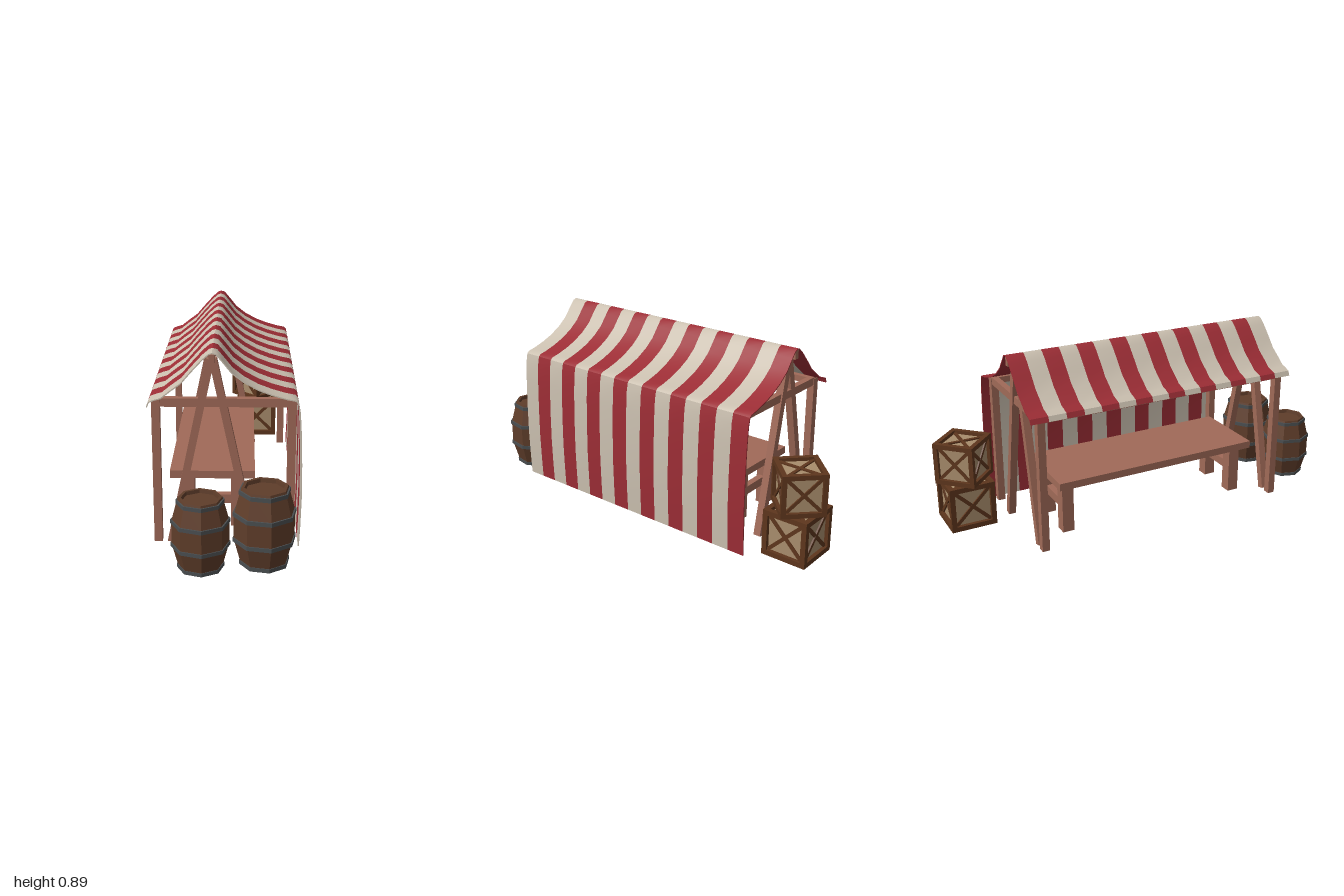
import * as THREE from 'three';
import { toCreasedNormals } from 'three/addons/utils/BufferGeometryUtils.js';

const mat = (color, extra = {}) => new THREE.MeshStandardMaterial({ color, ...extra });
const WOOD = mat(0xa06a58), BARREL = mat(0x5f3d2a, { flatShading: true }), HOOP = mat(0x4a4e50, { flatShading: true });
const CRATE = mat(0x5e361d), PANEL = mat(0xa88d6c), RED = mat(0x9c2d35), CREAM = mat(0xcbc0b0);

function add(parent, name, geometry, material, x = 0, y = 0, z = 0) {
  const mesh = new THREE.Mesh(geometry, material);
  mesh.name = name;
  mesh.position.set(x, y, z);
  parent.add(mesh);
  return mesh;
}
const box = (parent, name, material, w, h, d, x, y, z) =>
  add(parent, name, new THREE.BoxGeometry(w, h, d), material, x, y, z);

function group(parent, name) {
  const g = new THREE.Group();
  g.name = name;
  parent.add(g);
  return g;
}

// Square beam between two points in a plane of constant z
function slantedBeam(parent, name, x0, y0, x1, y1, z, width, depth) {
  const beam = box(parent, name, WOOD, width, Math.hypot(x1 - x0, y1 - y0), depth, (x0 + x1) / 2, (y0 + y1) / 2, z);
  beam.rotation.z = -Math.atan2(x1 - x0, y1 - y0);
}

// Striped cloth: a thin draped profile, extruded stripe by stripe
function buildAwning(parent) {
  const awning = group(parent, 'awning');
  const outer = [
    [-0.336, 0.66], [-0.326, 0.683], [-0.3, 0.693], [-0.275, 0.7], [-0.235, 0.732], [-0.19, 0.765],
    [-0.15, 0.812], [-0.1, 0.867], [-0.07, 0.893], [-0.055, 0.898], [-0.035, 0.892], [-0.01, 0.862],
    [0.03, 0.812], [0.08, 0.773], [0.14, 0.74], [0.2, 0.717], [0.26, 0.7], [0.3, 0.692], [0.311, 0.682],
    [0.32, 0.64], [0.327, 0.54], [0.332, 0.4], [0.334, 0.25], [0.331, 0.12], [0.327, 0.015],
  ].map(p => new THREE.Vector2(...p));
  const inner = outer.map((p, i) => {
    const t = outer[Math.min(i + 1, outer.length - 1)].clone().sub(outer[Math.max(i - 1, 0)]).normalize();
    return new THREE.Vector2(p.x + t.y * 0.006, p.y - t.x * 0.006).lerp(p, 0.15);
  });
  const shape = new THREE.Shape([...outer, ...inner.reverse()]);
  const count = 16, width = 1.38 / count;
  const geometry = toCreasedNormals(new THREE.ExtrudeGeometry(shape, { depth: width, bevelEnabled: false }), 0.6);
  for (let i = 0; i < count; i++) {
    add(awning, i % 2 ? 'creamStripe' : 'redStripe', geometry, i % 2 ? CREAM : RED, 0, 0, -0.69 + i * width);
  }
}

// Stall frame: posts, cross beams and an A-frame at each end
function buildFrame(parent) {
  const frame = group(parent, 'frame');
  for (const z of [-0.635, 0.635]) {
    for (const x of [-0.3, 0.287]) box(frame, 'post', WOOD, 0.036, 0.665, 0.036, x, 0.348, z);
    box(frame, 'crossBeam', WOOD, 0.6, 0.038, 0.03, -0.006, 0.668, z);
    slantedBeam(frame, 'leftBrace', 0.125, 0.015, -0.053, 0.86, z - 0.004, 0.034, 0.036);
    slantedBeam(frame, 'rightBrace', -0.242, 0.015, -0.063, 0.86, z + 0.004, 0.034, 0.036);
  }
  for (const x of [-0.3, 0.287]) box(frame, 'sideBeam', WOOD, 0.03, 0.03, 1.26, x, 0.664, 0);
  box(frame, 'ridgeBeam', WOOD, 0.026, 0.042, 1.37, -0.057, 0.867, 0);
}

// Trestle table
function buildTable(parent) {
  const table = group(parent, 'table');
  const cx = -0.062;
  box(table, 'tableTop', WOOD, 0.385, 0.036, 1.06, cx, 0.288, 0);
  for (const z of [-0.47, 0.47]) {
    for (const side of [-1, 1]) box(table, 'tableLeg', WOOD, 0.058, 0.252, 0.058, cx + side * 0.112, 0.146, z);
    box(table, 'tableStretcher', WOOD, 0.24, 0.042, 0.032, cx, 0.15, z);
  }
}

// Eight-sided barrel with a sunken lid and four hoops
function buildBarrel(parent, x, z, base, height, radius, turn) {
  const barrel = group(parent, 'barrel');
  barrel.position.set(x, base, z);
  barrel.rotation.y = turn;
  const endR = radius * 0.74, midR = radius * 0.965;
  const radiusAt = t => (t < 0.34 ? THREE.MathUtils.lerp(endR, midR, t / 0.34)
    : t > 0.67 ? THREE.MathUtils.lerp(midR, endR, (t - 0.67) / 0.33) : midR);
  const profile = [
    [0, 0.01], [endR, 0.01], [midR, 0.34], [midR, 0.67], [endR, 1], [endR * 0.86, 1], [endR * 0.84, 0.95], [0, 0.95],
  ].map(([r, t]) => new THREE.Vector2(r, t * height));
  add(barrel, 'barrelBody', new THREE.LatheGeometry(profile, 8), BARREL);
  for (const t of [0.035, 0.34, 0.67, 0.945]) {
    const half = 0.026, r = radiusAt(t) + radius * 0.035;
    const hoop = [[r - 0.014, t - half], [r, t - half], [r, t + half], [r - 0.014, t + half]]
      .map(([hr, ht]) => new THREE.Vector2(hr, ht * height));
    add(barrel, 'barrelHoop', new THREE.LatheGeometry(hoop, 8), HOOP);
  }
}

// Crate: inset panels, twelve edge bars and a cross on each of its six faces
function buildCrate(parent, x, base, z, size, turn) {
  const crate = group(parent, 'crate');
  crate.position.set(x, base + size / 2, z);
  crate.rotation.y = turn;
  const bar = size * 0.11, off = (size - bar) / 2, inside = size - bar * 1.5;
  box(crate, 'cratePanels', PANEL, inside, inside, inside, 0, 0, 0);
  for (const a of [-off, off]) for (const b of [-off, off]) {
    box(crate, 'crateEdge', CRATE, bar, size, bar, a, 0, b);
    box(crate, 'crateEdge', CRATE, size - bar * 2, bar, bar, 0, a, b);
    box(crate, 'crateEdge', CRATE, bar, bar, size - bar * 2, a, b, 0);
  }
  const faces = [[0, 0], [0, 1], [0, 2], [0, 3], [1, 0], [-1, 0]];
  for (const [rx, ry] of faces) {
    const face = group(crate, 'crateFace');
    face.rotation.set(rx * Math.PI / 2, ry * Math.PI / 2, 0);
    for (const s of [-1, 1]) {
      const brace = box(face, 'crateBrace', CRATE, (size - bar * 1.5) * Math.SQRT2, bar * 0.7, bar * 0.6, 0, 0, inside / 2 + s * 0.0004);
      brace.rotation.z = s * Math.PI / 4;
    }
  }
}

export function createModel() {
  const model = new THREE.Group();
  model.name = 'marketStall';
  buildAwning(model);
  buildFrame(model);
  buildTable(model);
  buildBarrel(model, -0.1, 0.873, 0.008, 0.322, 0.126, 0.08);
  buildBarrel(model, 0.17, 0.812, 0, 0.354, 0.138, 0.2);
  buildCrate(model, 0.15, 0.02, -0.856, 0.224, 0);
  buildCrate(model, 0.15, 0.244, -0.856, 0.205, Math.PI / 4);
  return model;
}
